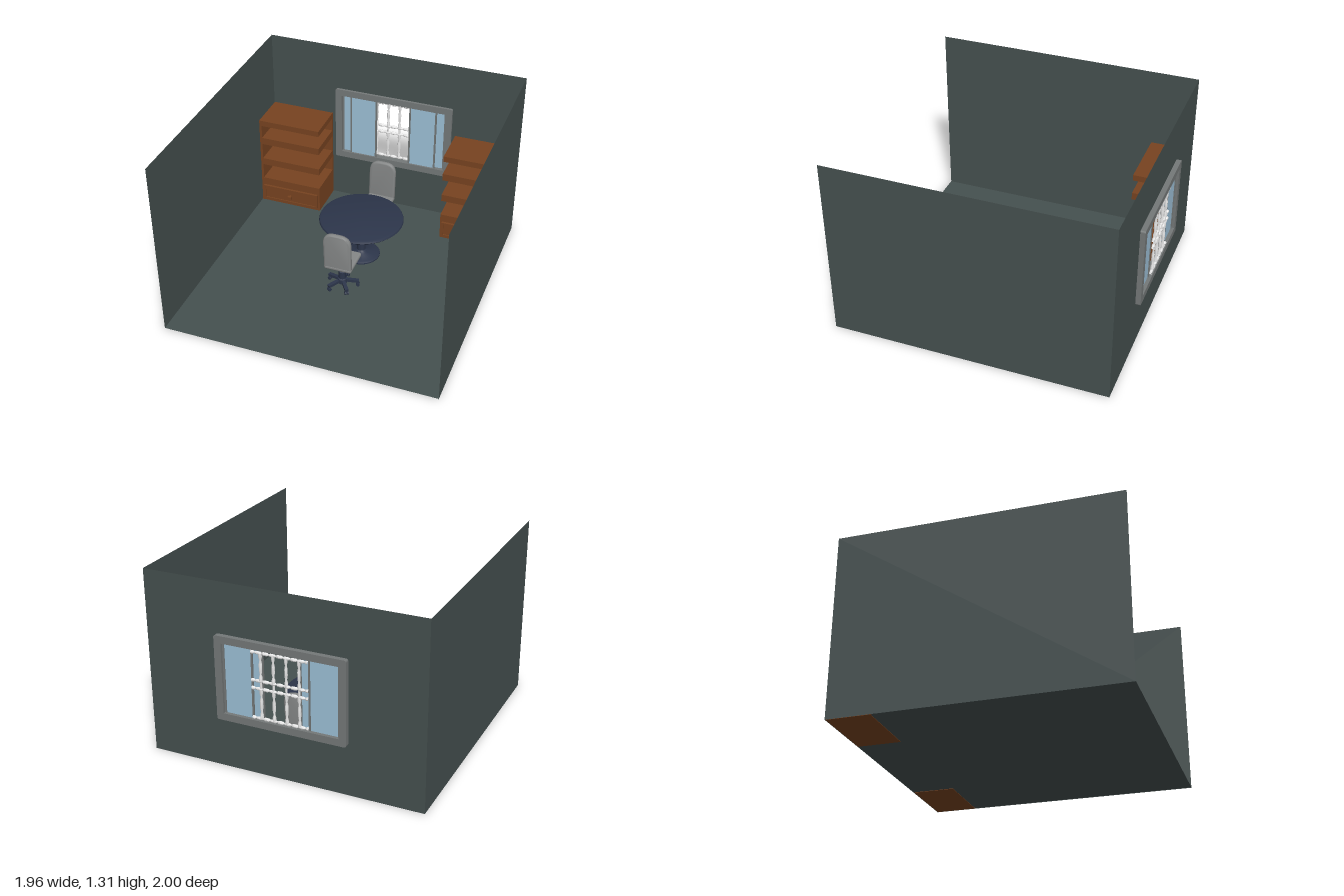
import * as THREE from 'three';
import { toCreasedNormals } from 'three/addons/utils/BufferGeometryUtils.js';
import { RoundedBoxGeometry } from 'three/addons/geometries/RoundedBoxGeometry.js';

const material = (name, color, side = THREE.FrontSide) => {
  const m = new THREE.MeshStandardMaterial({ color, side });
  m.name = name;
  return m;
};

function roundedRect(x0, y0, x1, y1, rBottom, rTop, target = new THREE.Shape()) {
  target.moveTo(x0 + rBottom, y0);
  target.lineTo(x1 - rBottom, y0);
  target.quadraticCurveTo(x1, y0, x1, y0 + rBottom);
  target.lineTo(x1, y1 - rTop);
  target.quadraticCurveTo(x1, y1, x1 - rTop, y1);
  target.lineTo(x0 + rTop, y1);
  target.quadraticCurveTo(x0, y1, x0, y1 - rTop);
  target.lineTo(x0, y0 + rBottom);
  target.quadraticCurveTo(x0, y0, x0 + rBottom, y0);
  return target;
}

function rectPath(x0, y0, x1, y1, target) {
  return target.setFromPoints([[x0, y0], [x1, y0], [x1, y1], [x0, y1], [x0, y0]].map(p => new THREE.Vector2(...p)));
}

export function createModel() {
  const wall = material('wall slate', 0x45504f, THREE.DoubleSide);
  const wood = material('brown wood', 0x774320);
  const gray = material('frame gray', 0x747878);
  const glass = material('pale blue glass', 0x9cbfd6, THREE.DoubleSide);
  const white = material('white grille', 0xf6f6f6);
  const navy = material('navy', 0x2c354a);
  const cushion = material('chair gray', 0x858787);

  const root = new THREE.Group();
  root.name = 'room';
  const group = (name, parent = root) => {
    const g = new THREE.Group();
    g.name = name;
    parent.add(g);
    return g;
  };
  const add = (parent, name, geo, mat, x = 0, y = 0, z = 0) => {
    const m = new THREE.Mesh(geo, mat);
    m.name = name;
    m.position.set(x, y, z);
    parent.add(m);
    return m;
  };
  // Box given by its minimum and maximum corners
  const box = (parent, name, mat, x0, x1, y0, y1, z0, z1) =>
    add(parent, name, new THREE.BoxGeometry(x1 - x0, y1 - y0, z1 - z0), mat, (x0 + x1) / 2, (y0 + y1) / 2, (z0 + z1) / 2);
  const lathe = (points, segments = 32) =>
    toCreasedNormals(new THREE.LatheGeometry(points.map(p => new THREE.Vector2(...p)), segments), 0.7);

  // Room shell: open front and top, window opening in the back wall
  const shell = group('shell');
  add(shell, 'floor', new THREE.PlaneGeometry(1.96, 1.965), wall, 0, 0.003, 0.0175).rotation.x = -Math.PI / 2;
  for (const s of [-1, 1]) {
    add(shell, s > 0 ? 'leftWall' : 'rightWall', new THREE.PlaneGeometry(1.965, 1.31), wall, s * 0.98, 0.655, 0.0175)
      .rotation.y = -s * Math.PI / 2;
  }
  const back = rectPath(-0.98, 0, 0.98, 1.31, new THREE.Shape());
  back.holes.push(rectPath(-0.41, 0.41, 0.41, 0.905, new THREE.Path()));
  add(shell, 'backWall', new THREE.ShapeGeometry(back), wall, 0, 0, -0.965);

  // Window frame
  const win = group('window');
  const frame = roundedRect(-0.46, 0.36, 0.46, 0.955, 0.015, 0.015);
  frame.holes.push(rectPath(-0.41, 0.41, 0.41, 0.905, new THREE.Path()));
  add(win, 'windowFrame', new THREE.ExtrudeGeometry(frame, { depth: 0.055, bevelEnabled: false }), gray, 0, 0, -1);

  // Outer fixed panes and inner sliding sashes
  for (const s of [-1, 1]) {
    const pane = (name, a, b, z) => {
      add(win, name, new THREE.PlaneGeometry(b - a, 0.495), glass, s * (a + b) / 2, 0.6575, z);
      for (const x of [a + 0.006, b - 0.006]) {
        add(win, name + 'Stile', new THREE.BoxGeometry(0.012, 0.495, 0.012), gray, s * x, 0.6575, z);
      }
    };
    pane('fixedPane', 0.195, 0.41, -0.975);
    pane('slidingSash', 0.128, 0.342, -0.958);
  }

  // Ornamental grille of waisted bars
  const grille = group('grille', win);
  const spindle = (length) => lathe([[0.012, -0.5], [0.012, -0.36], [0.006, -0.26], [0.011, -0.12], [0.011, 0.12],
    [0.006, 0.26], [0.012, 0.36], [0.012, 0.5]].map(([r, t]) => [r, t * length]), 8);
  const barHeights = [0.425, 0.635, 0.69, 0.885];
  for (const y of barHeights) {
    for (let i = 0; i < 4; i++) {
      add(grille, 'crossBar', spindle(0.1), white, -0.15 + i * 0.1, y, -0.985).rotation.z = Math.PI / 2;
    }
  }
  for (const x of [-0.135, -0.045, 0.045, 0.135]) {
    for (const i of [0, 2]) {
      const y0 = barHeights[i], y1 = barHeights[i + 1];
      add(grille, 'uprightBar', spindle(y1 - y0), white, x, (y0 + y1) / 2, -0.985);
    }
    add(grille, 'uprightJoint', new THREE.CylinderGeometry(0.008, 0.008, 0.055, 8), white, x, 0.6625, -0.985);
  }

  // Bookcases, open on the side facing the window
  for (const s of [-1, 1]) {
    const shelfUnit = group(s > 0 ? 'leftBookcase' : 'rightBookcase');
    const part = (name, a, b, y0, y1, z0, z1) =>
      box(shelfUnit, name, wood, Math.min(s * a, s * b), Math.max(s * a, s * b), y0, y1, z0, z1);
    part('backPanel', 0.49, 0.975, 0, 0.73, -0.962, -0.945);
    part('sidePanel', 0.958, 0.976, 0, 0.73, -0.95, -0.657);
    part('topBoard', 0.49, 0.975, 0.687, 0.732, -0.95, -0.655);
    for (const y of [0.16, 0.34, 0.525]) part('shelf', 0.49, 0.96, y, y + 0.055, -0.95, -0.655);
    part('drawerCase', 0.49, 0.96, 0, 0.16, -0.95, -0.66);
    // Drawer front with raised rim and square knob
    part('drawerFront', 0.505, 0.957, 0.03, 0.15, -0.66, -0.65);
    part('drawerRimTop', 0.505, 0.957, 0.138, 0.15, -0.65, -0.642);
    part('drawerRimBottom', 0.505, 0.957, 0.03, 0.042, -0.65, -0.642);
    part('drawerRimSide', 0.505, 0.52, 0.042, 0.138, -0.65, -0.642);
    part('drawerRimSide', 0.942, 0.957, 0.042, 0.138, -0.65, -0.642);
    part('knobStem', 0.722, 0.738, 0.083, 0.099, -0.65, -0.63);
    part('knob', 0.715, 0.745, 0.077, 0.105, -0.63, -0.612);
  }

  // Round pedestal table
  const table = group('table');
  table.position.z = -0.26;
  add(table, 'tableTop', lathe([[0, 0.304], [0.27, 0.304], [0.3, 0.31], [0.31, 0.32], [0.305, 0.331], [0.29, 0.336], [0, 0.336]], 48), navy);
  add(table, 'tablePedestal', lathe([[0, 0.004], [0.14, 0.004], [0.14, 0.014], [0.125, 0.022], [0.05, 0.032], [0.032, 0.05],
    [0.028, 0.15], [0.032, 0.28], [0.06, 0.305]]), navy);

  // Swivel chairs facing the table
  const backGeo = toCreasedNormals(new THREE.ExtrudeGeometry(roundedRect(-0.09, 0.217, 0.09, 0.508, 0.02, 0.07), {
    depth: 0.012, bevelThickness: 0.012, bevelSize: 0.012, bevelSegments: 4, curveSegments: 8 }), 0.9);
  // Lean the backrest slightly as it rises
  const p = backGeo.attributes.position;
  for (let i = 0; i < p.count; i++) p.setZ(i, p.getZ(i) + 0.02 * (p.getY(i) - 0.2) / 0.32);

  for (const [name, z, turn] of [['frontChair', 0.14, 0], ['backChair', -0.64, Math.PI]]) {
    const chair = group(name);
    chair.position.z = z;
    chair.rotation.y = turn;
    add(chair, 'seat', new RoundedBoxGeometry(0.205, 0.036, 0.23, 4, 0.016), cushion, 0, 0.22, -0.01);
    add(chair, 'backrest', backGeo, cushion, 0, 0, 0.077);
    add(chair, 'seatMount', new THREE.CylinderGeometry(0.045, 0.03, 0.015, 16), navy, 0, 0.197, 0);
    add(chair, 'column', lathe([[0.035, 0.035], [0.035, 0.07], [0.026, 0.075], [0.026, 0.13], [0.018, 0.135], [0.018, 0.2]], 16), navy);
    // Five-legged star base on castors
    for (let i = 0; i < 5; i++) {
      const leg = group('baseLeg', chair);
      leg.rotation.y = i * Math.PI * 2 / 5 + Math.PI / 2;
      add(leg, 'legArm', new THREE.BoxGeometry(0.11, 0.02, 0.026), navy, 0.065, 0.05, 0).rotation.z = -0.12;
      add(leg, 'castorStem', new THREE.CylinderGeometry(0.007, 0.007, 0.03, 8), navy, 0.112, 0.032, 0);
      for (const w of [-1, 1]) {
        add(leg, 'castorWheel', new THREE.CylinderGeometry(0.013, 0.013, 0.01, 12), navy, 0.112, 0.016, w * 0.009)
          .rotation.x = Math.PI / 2;
      }
    }
  }
  return root;
}
